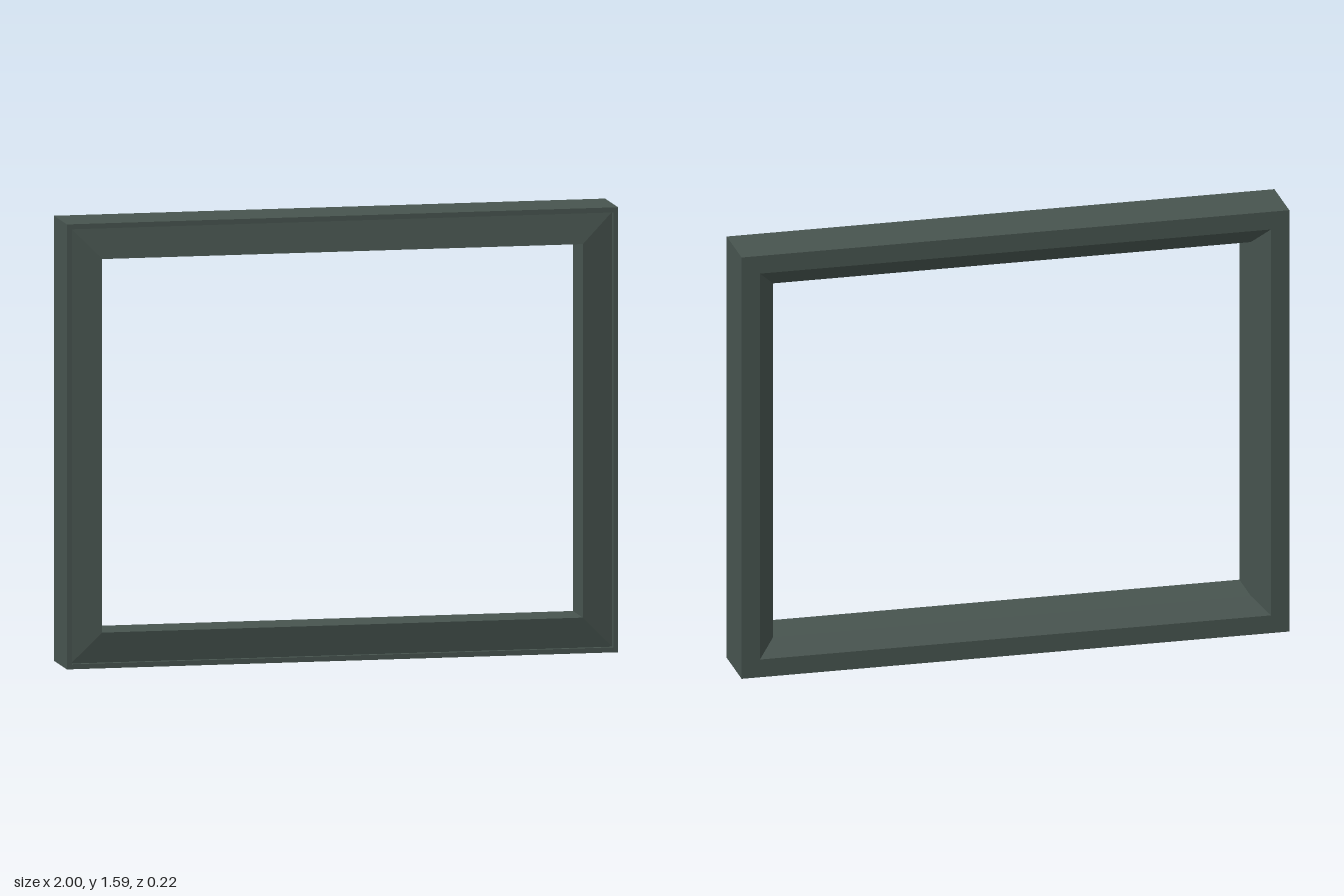
import * as THREE from 'three';

const W = 1, H = 0.797, D = 0.11; // half width, half height, half depth

// Moulding cross-section as [inset from outer edge, z]
const PROFILE = [
  [0, -D], [0, D],            // outer side
  [0.018, D], [0.018, 0.092], // thin front lip and its step
  [0.128, D],                 // sloped front face
  [0.128, -0.058],            // inner reveal
  [0.067, -D],                // rear chamfer, then flat back rim
];

// Corner signs, counter-clockwise seen from the front
const CORNERS = [[1, -1], [1, 1], [-1, 1], [-1, -1]];
const NAMES = ['leftRail', 'topRail', 'rightRail', 'bottomRail'];

function cornerPoint([sx, sy], [inset, z]) {
  return [sx * (W - inset), H + sy * (H - inset), z];
}

// One mitred rail: the profile swept from one corner to the next
function railGeometry(a, b) {
  const positions = [];
  PROFILE.forEach((p, i) => {
    const q = PROFILE[(i + 1) % PROFILE.length];
    const a0 = cornerPoint(a, p), b0 = cornerPoint(b, p);
    const a1 = cornerPoint(a, q), b1 = cornerPoint(b, q);
    positions.push(...a0, ...b0, ...b1, ...a0, ...b1, ...a1);
  });
  const geometry = new THREE.BufferGeometry();
  geometry.setAttribute('position', new THREE.Float32BufferAttribute(positions, 3));
  geometry.computeVertexNormals();
  return geometry;
}

export function createModel() {
  const group = new THREE.Group();
  group.name = 'frame';
  const paint = new THREE.MeshStandardMaterial({ color: 0x47544f });
  paint.name = 'dark grey green';

  NAMES.forEach((name, i) => {
    const rail = new THREE.Mesh(railGeometry(CORNERS[i], CORNERS[(i + 1) % 4]), paint);
    rail.name = name;
    group.add(rail);
  });
  return group;
}
